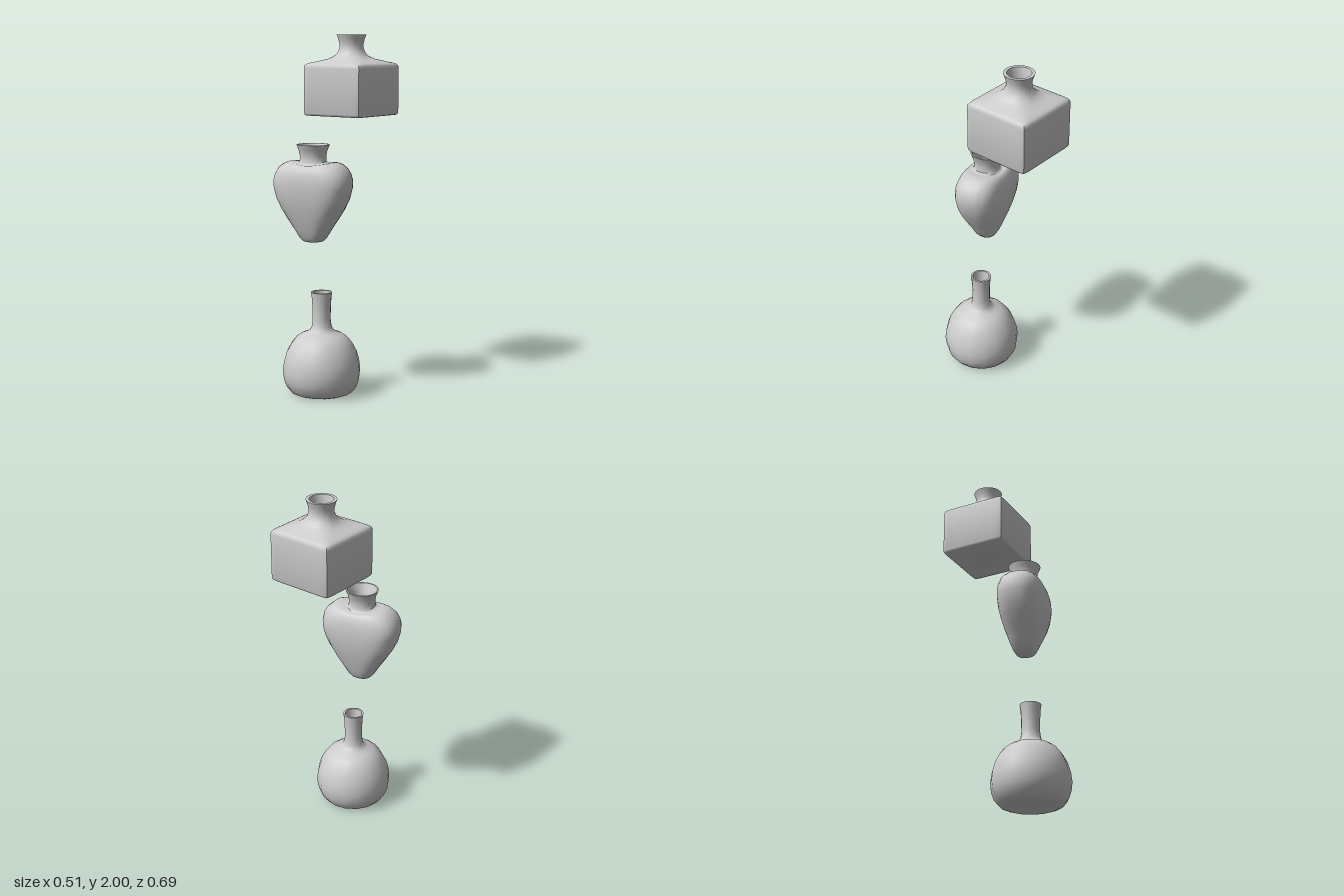
import * as THREE from 'three';
import { toCreasedNormals } from 'three/addons/utils/BufferGeometryUtils.js';

// Skin superellipse rings. Row: [y, half width, half depth, exponent, lift at the ±x sides]
function loft(rows, sides, crease) {
  const pos = [], index = [];
  for (const [y, a, b = a, n = 2, lift = 0] of rows) {
    for (let j = 0; j < sides; j++) {
      const t = (j / sides) * Math.PI * 2, c = Math.cos(t), s = Math.sin(t);
      const r = Math.pow(Math.pow(Math.abs(c) / a, n) + Math.pow(Math.abs(s) / b, n), -1 / n);
      pos.push(r * c, y + lift * c * c, r * s);
    }
  }
  for (let i = 0; i < rows.length - 1; i++) {
    for (let j = 0; j < sides; j++) {
      const k = (j + 1) % sides;
      const a = i * sides + j, b = i * sides + k, c = a + sides, d = b + sides;
      index.push(a, c, b, b, c, d);
    }
  }
  const g = new THREE.BufferGeometry();
  g.setAttribute('position', new THREE.Float32BufferAttribute(pos, 3));
  g.setIndex(index);
  return toCreasedNormals(g, crease);
}

export function createModel() {
  const group = new THREE.Group();
  const clay = new THREE.MeshStandardMaterial({ color: 0xcccccc });
  clay.name = 'greyClay';
  const E = 0.0005; // closes the ends

  const add = (name, rows, sides, crease, x, z, turn = 0) => {
    const mesh = new THREE.Mesh(loft(rows, sides, crease), clay);
    mesh.name = name;
    mesh.position.set(x, 0, z);
    mesh.rotation.y = turn;
    group.add(mesh);
  };

  // Round bottle: base, belly, shoulder, neck, then hollow inside
  add('roundBottle', [
    [0.004, E], [0.002, 0.09], [0, 0.15], [0.01, 0.176], [0.04, 0.2], [0.08, 0.214],
    [0.13, 0.22], [0.185, 0.213], [0.235, 0.198], [0.28, 0.174], [0.315, 0.147],
    [0.337, 0.115], [0.348, 0.085], [0.36, 0.067], [0.38, 0.056], [0.42, 0.051],
    [0.49, 0.052], [0.54, 0.055], [0.576, 0.06],
    [0.576, 0.049], [0.54, 0.045], [0.42, 0.042], [0.03, 0.042], [0.03, E],
  ], 16, 0.9, 0.035, 0.125);

  // Flattened heart-shaped vase, turned slightly
  add('heartVase', [
    [0.858, E], [0.855, 0.035, 0.035, 2.2], [0.86, 0.058, 0.05, 2.4], [0.88, 0.077, 0.062, 2.6],
    [0.92, 0.1, 0.077, 2.8], [0.98, 0.139, 0.097, 3], [1.04, 0.176, 0.113, 3.2],
    [1.1, 0.206, 0.125, 3.2], [1.16, 0.223, 0.13, 3.2], [1.2, 0.226, 0.129, 3.2],
    [1.235, 0.219, 0.124, 3.1], [1.265, 0.2, 0.115, 3, 0.003], [1.282, 0.173, 0.104, 2.8, 0.01],
    [1.288, 0.14, 0.093, 2.6, 0.017], [1.288, 0.11, 0.083, 2.4, 0.016],
    [1.292, 0.085, 0.075, 2.3, 0.008], [1.305, 0.074, 0.07, 2.3], [1.335, 0.071, 0.069, 2.3],
    [1.365, 0.077, 0.076, 2.2], [1.388, 0.088, 0.088], [1.4, 0.092, 0.092],
    [1.4, 0.084, 0.084], [1.385, 0.079, 0.079], [1.36, 0.068, 0.067, 2.3],
    [1.33, 0.062, 0.059, 2.6], [1.29, 0.062, 0.058, 2.6],
    [0.93, 0.062, 0.058, 2.6], [0.93, E],
  ], 32, 0.9, -0.025, 0.123, 0.19);

  // Square bottle: boxy body blending into a round flared neck
  const sq = (y, r, n) => [y, r, r, n];
  add('squareBottle', [
    sq(1.55, E, 30), sq(1.55, 0.183, 30), sq(1.554, 0.191, 30), sq(1.563, 0.195, 30),
    sq(1.815, 0.195, 30), sq(1.829, 0.193, 30), sq(1.838, 0.186, 28), sq(1.845, 0.172, 18),
    sq(1.854, 0.145, 8), sq(1.866, 0.114, 4), sq(1.88, 0.094, 2.5), sq(1.9, 0.078, 2.1),
    sq(1.925, 0.068, 2), sq(1.95, 0.068, 2), sq(1.975, 0.074, 2), sq(2, 0.083, 2),
    sq(2, 0.065, 2), sq(1.975, 0.06, 2), sq(1.94, 0.057, 2), sq(1.6, 0.057, 2), sq(1.6, E, 2),
  ], 64, 0.9, 0.035, -0.15);

  return group;
}
